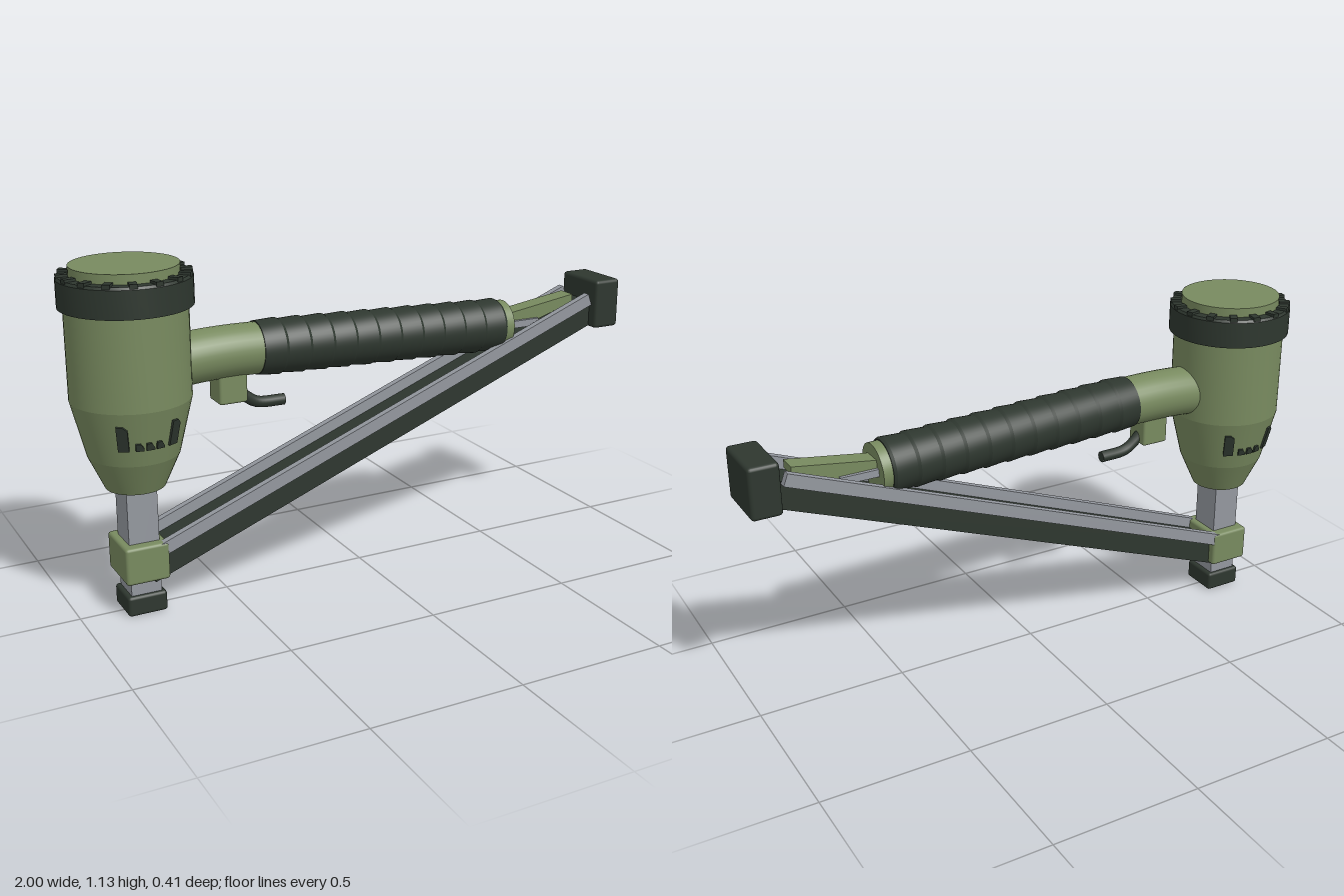
import * as THREE from 'three';
import { toCreasedNormals } from 'three/addons/utils/BufferGeometryUtils.js';
import { RoundedBoxGeometry } from 'three/addons/geometries/RoundedBoxGeometry.js';

export function createModel() {
  const material = (name, color) => {
    const m = new THREE.MeshStandardMaterial({ color });
    m.name = name;
    return m;
  };
  const green = material('olive green', 0x788a5f);
  const dark = material('dark rubber', 0x2e372f);
  const steel = material('steel', 0x94989f);

  const model = new THREE.Group();
  model.name = 'nailGun';

  const add = (name, geometry, mat, x = 0, y = 0, z = 0, parent = model) => {
    const mesh = new THREE.Mesh(geometry, mat);
    mesh.name = name;
    mesh.position.set(x, y, z);
    parent.add(mesh);
    return mesh;
  };
  // Box given by its limits, optionally with rounded edges
  const block = (name, mat, [x0, x1], [y0, y1], [z0, z1], bevel = 0, parent = model) => {
    const size = [x1 - x0, y1 - y0, z1 - z0];
    const geo = bevel ? new RoundedBoxGeometry(...size, 2, bevel) : new THREE.BoxGeometry(...size);
    return add(name, geo, mat, (x0 + x1) / 2, (y0 + y1) / 2, (z0 + z1) / 2, parent);
  };
  const lathe = (points, crease = 0.16) => toCreasedNormals(
    new THREE.LatheGeometry(points.map(p => new THREE.Vector2(...p)), 48), crease);

  // Motor housing with cap
  const housing = new THREE.Group();
  housing.name = 'housing';
  housing.position.x = -0.795;
  model.add(housing);
  add('housingBody', lathe([[0, 0.42], [0.095, 0.42], [0.145, 0.53], [0.189, 0.71], [0.189, 1.02], [0, 1.02]]), green, 0, 0, 0, housing);
  add('capRing', lathe([[0.18, 1], [0.206, 1], [0.206, 1.088], [0.2, 1.096], [0.16, 1.096]]), dark, 0, 0, 0, housing);
  add('capDisc', lathe([[0.167, 1.05], [0.167, 1.126], [0, 1.126]]), green, 0, 0, 0, housing);
  for (let i = 0; i < 16; i++) {
    const a = (i + 0.5) / 16 * Math.PI * 2;
    const tab = add('capTab', new THREE.BoxGeometry(0.024, 0.02, 0.036), dark, Math.sin(a) * 0.186, 1.094, Math.cos(a) * 0.186, housing);
    tab.rotation.y = a;
  }

  // Exhaust slots, on the front and back of the cone
  const slotGeometry = (w, h, slant) => {
    const s = new THREE.Shape();
    s.moveTo(-w / 2, 0);
    s.lineTo(w / 2, 0);
    s.lineTo(w / 2, h * (1 - slant));
    s.lineTo(w * 0.1, h);
    s.lineTo(-w / 2, h);
    return new THREE.ExtrudeGeometry(s, { depth: 0.012, bevelEnabled: false });
  };
  const largeSlot = slotGeometry(0.034, 0.085, 0.15);
  const smallSlot = slotGeometry(0.026, 0.024, 0.7);
  for (const side of [0, Math.PI]) {
    for (const [angle, geo] of [[-0.5, largeSlot], [-0.2, smallSlot], [0, smallSlot], [0.2, smallSlot], [0.5, largeSlot]]) {
      const a = side + angle;
      const r = 0.153;
      const slot = add('exhaustSlot', geo, dark, Math.sin(a) * r, 0.588, Math.cos(a) * r, housing);
      slot.rotation.set(0.24, a, 0, 'YXZ');
    }
  }

  // Nose, foot and magazine bracket
  block('nose', steel, [-0.845, -0.745], [0.03, 0.45], [-0.055, 0.055]);
  block('foot', dark, [-0.86, -0.73], [0, 0.067], [-0.067, 0.067], 0.01);
  block('magazineBracket', green, [-0.868, -0.724], [0.118, 0.242], [-0.09, 0.09], 0.01);

  // Sloping magazine: dark channel with a steel rail along each side
  const magazine = new THREE.Group();
  magazine.name = 'magazine';
  magazine.position.set(-0.765, 0.102, 0);
  magazine.rotation.z = Math.atan(0.386);
  model.add(magazine);
  block('channel', dark, [0, 1.81], [0, 0.085], [-0.062, 0.062], 0, magazine);
  for (const s of [-1, 1]) {
    const z = [s * 0.075 - 0.0125, s * 0.075 + 0.0125];
    block('rail', steel, [0.05, 1.8], [0.08, 0.122], z, 0, magazine);
  }
  block('endCap', dark, [0.895, 0.995], [0.738, 0.91], [-0.1, 0.1], 0.012);

  // Handle neck, slightly curved out of the housing
  const neck = new THREE.CatmullRomCurve3([
    new THREE.Vector3(-0.7, 0.795, 0), new THREE.Vector3(-0.6, 0.806, 0),
    new THREE.Vector3(-0.48, 0.811, 0), new THREE.Vector3(-0.34, 0.809, 0)]);
  add('handleNeck', new THREE.TubeGeometry(neck, 16, 0.084, 32), green);

  // Ribbed grip and end collar
  const grip = new THREE.Group();
  grip.name = 'grip';
  grip.position.set(-0.378, 0.81, 0);
  grip.rotation.z = -Math.PI / 2 - 0.0365;
  model.add(grip);
  const ribs = 11, length = 0.91, profile = [[0, 0]];
  for (let i = 0; i < ribs; i++) {
    profile.push([0.087, i * length / ribs], [0.092, (i + 0.88) * length / ribs]);
  }
  profile.push([0.087, length], [0, length]);
  add('gripSleeve', lathe(profile, 0.4), dark, 0, 0, 0, grip);
  add('endCollar', lathe([[0, 0.9], [0.083, 0.9], [0.083, 0.942], [0, 0.942]]), green, 0, 0, 0, grip);

  // Arm joining the handle to the magazine
  const arm = new THREE.Shape([[0.54, 0.755], [0.66, 0.772], [0.84, 0.83], [0.84, 0.857], [0.54, 0.813]]
    .map(p => new THREE.Vector2(...p)));
  add('rearArm', new THREE.ExtrudeGeometry(arm, { depth: 0.066, bevelEnabled: false }), green, 0, 0, -0.033);
  block('armPlate', steel, [0.55, 0.69], [0.765, 0.79], [-0.045, 0.045]);

  // Trigger
  block('triggerBlock', green, [-0.52, -0.424], [0.648, 0.76], [-0.045, 0.045], 0.008);
  const lever = new THREE.CatmullRomCurve3([
    new THREE.Vector3(-0.45, 0.69, 0), new THREE.Vector3(-0.415, 0.655, 0),
    new THREE.Vector3(-0.375, 0.63, 0), new THREE.Vector3(-0.28, 0.624, 0)]);
  add('triggerLever', new THREE.TubeGeometry(lever, 16, 0.019, 12), dark);
  const tip = add('leverTip', new THREE.CircleGeometry(0.019, 12), dark, -0.28, 0.624, 0);
  tip.rotation.y = Math.PI / 2;

  return model;
}
